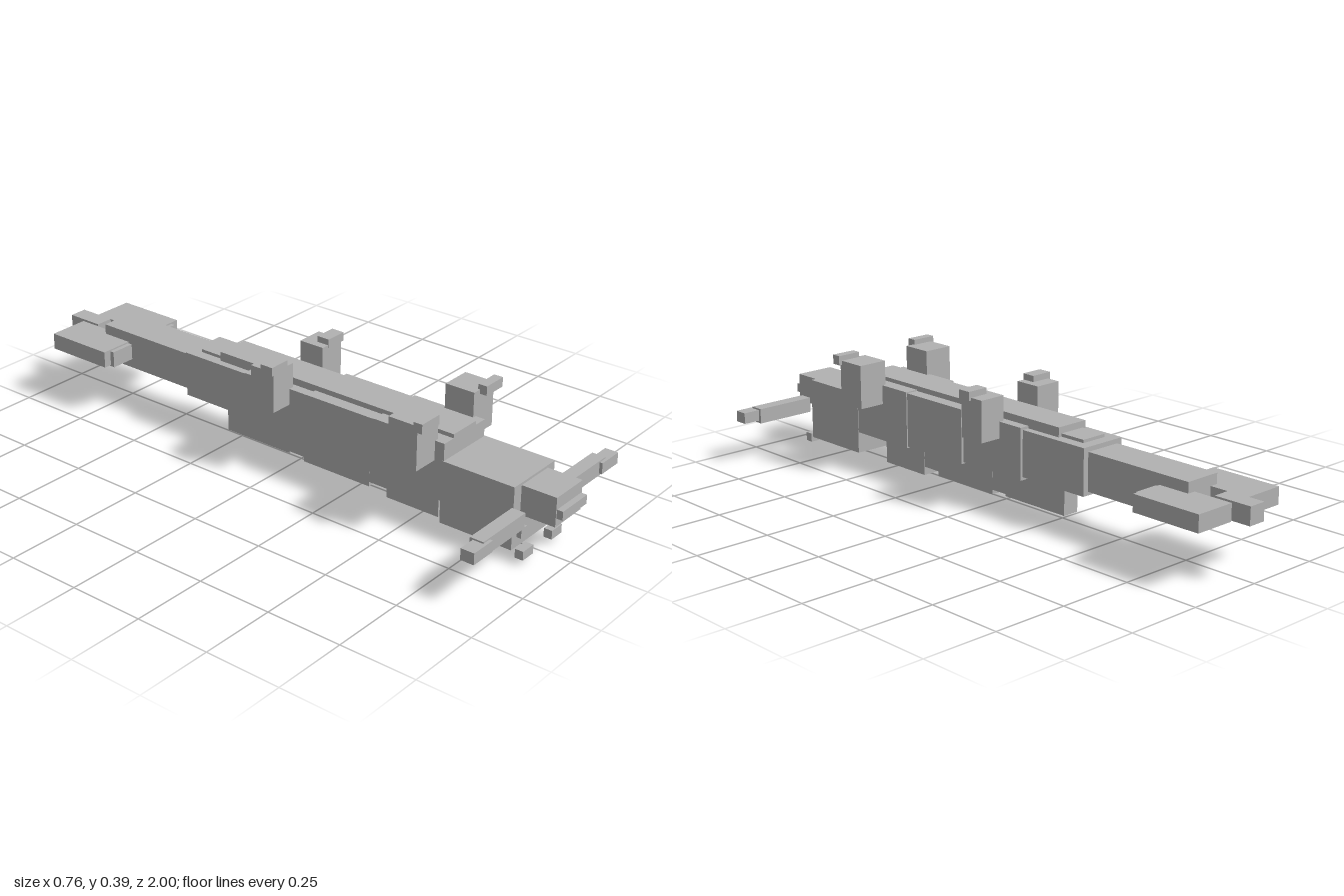
import * as THREE from 'three';

const grey = new THREE.MeshStandardMaterial({ color: 0xb2b2b2 });
grey.name = 'stone grey';

export function createModel() {
  const model = new THREE.Group();
  model.name = 'blockFish';

  // Box given by its limits on each axis
  function box(name, x0, x1, y0, y1, z0, z1) {
    const mesh = new THREE.Mesh(new THREE.BoxGeometry(x1 - x0, y1 - y0, z1 - z0), grey);
    mesh.position.set((x0 + x1) / 2, (y0 + y1) / 2, (z0 + z1) / 2);
    mesh.name = name;
    model.add(mesh);
  }
  const centred = (name, halfWidth, ...rest) => box(name, -halfWidth, halfWidth, ...rest);
  const pair = (name, x0, x1, ...rest) => {
    box(name + 'Left', x0, x1, ...rest);
    box(name + 'Right', -x1, -x0, ...rest);
  };

  // Head
  centred('head', 0.105, 0.038, 0.243, 0.612, 0.863);
  centred('snout', 0.068, 0.14, 0.235, 0.85, 0.98);
  centred('mouth', 0.064, 0.167, 0.196, 0.97, 1.0);
  pair('whisker', 0.113, 0.322, 0.131, 0.181, 0.863, 0.908);
  pair('whiskerTip', 0.29, 0.38, 0.139, 0.176, 0.873, 0.918);
  pair('upperBarbel', 0.05, 0.079, 0.07, 0.101, 0.863, 0.878);
  pair('lowerBarbel', 0.05, 0.103, 0.018, 0.047, 0.875, 0.903);

  // Tapering body: half width, bottom, top, back, front
  [
    [0.103, 0.11, 0.299, 0.362, 0.618],
    [0.099, 0.115, 0.295, 0.102, 0.362],
    [0.09, 0.12, 0.289, -0.157, 0.102],
    [0.081, 0.13, 0.281, -0.415, -0.157],
    [0.062, 0.142, 0.266, -0.803, -0.415],
  ].forEach(([w, ...rest], i) => centred('bodySegment' + (i + 1), w, ...rest));

  // Ridge along the back
  centred('backRidge', 0.057, 0.27, 0.312, -0.287, 0.618);
  centred('rearRidge', 0.045, 0.265, 0.291, -0.378, -0.25);

  // Keel under the belly
  centred('keelCore', 0.028, 0.03, 0.13, -0.28, 0.55);
  centred('keelFront', 0.03, 0.002, 0.12, 0.362, 0.555);
  centred('keelMiddle', 0.029, 0.015, 0.125, 0.035, 0.293);
  centred('keelRear', 0.0285, 0.024, 0.13, -0.285, -0.025);

  // Raised side posts with caps
  pair('frontPost', 0.09, 0.193, 0.235, 0.38, 0.482, 0.585);
  pair('frontPostCap', 0.12, 0.204, 0.366, 0.397, 0.578, 0.609);
  pair('rearPost', 0.073, 0.165, 0.235, 0.37, -0.064, 0.026);
  pair('rearPostCap', 0.1, 0.174, 0.361, 0.39, -0.017, 0.028);

  // Tail fins and tip
  pair('tailFin', 0.035, 0.174, 0.177, 0.232, -0.938, -0.697);
  pair('tailFinRoot', 0.03, 0.147, 0.173, 0.227, -0.8, -0.682);
  centred('tailTip', 0.03, 0.178, 0.236, -1.0, -0.872);

  return model;
}
